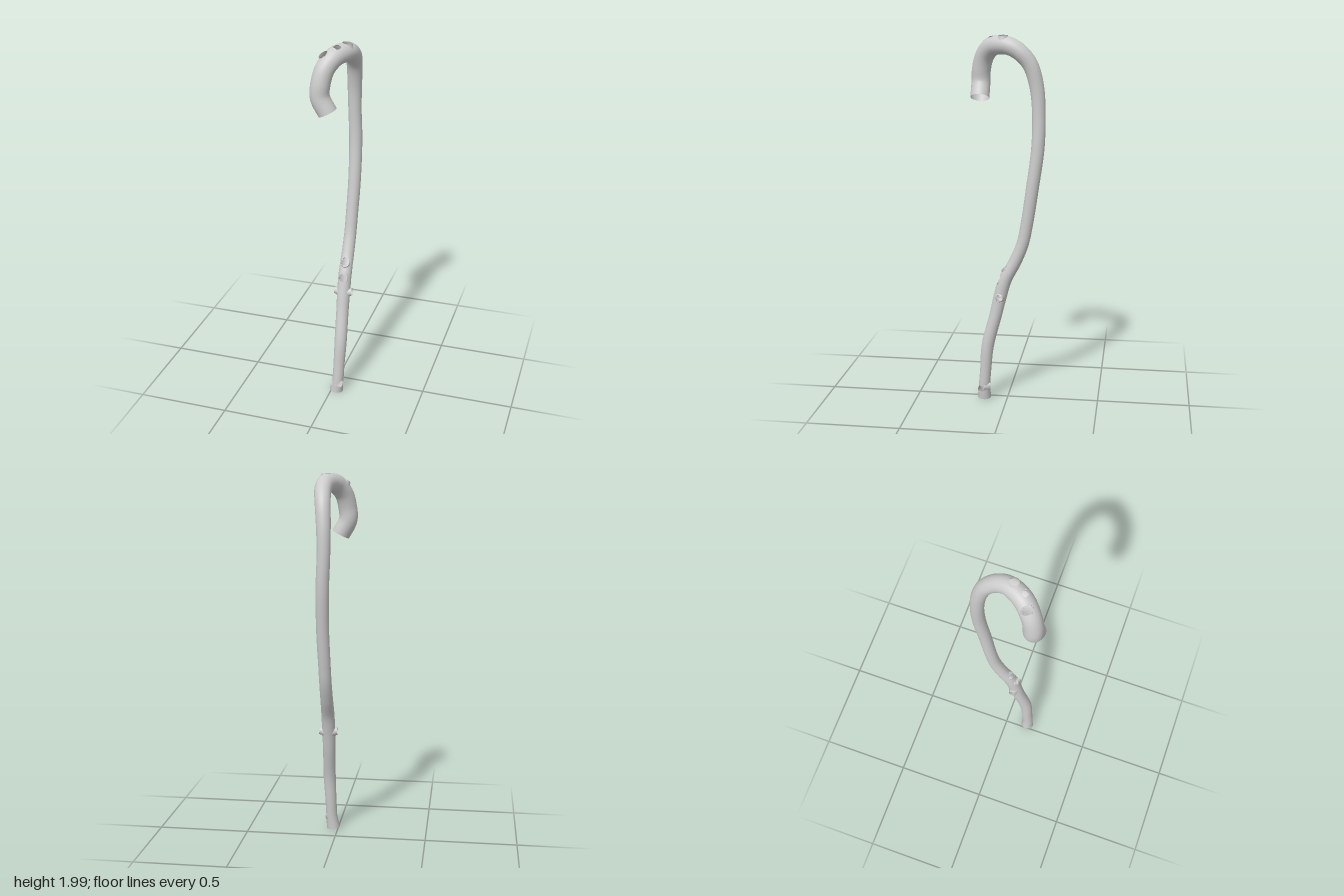
import * as THREE from 'three';

// Centre line of the stick from foot to crook end: x, y, z, radius
const path = [
  [0.028, 0.012, 0.128, 0.037], [0.036, 0.08, 0.126, 0.031], [0.04, 0.18, 0.118, 0.031],
  [0.045, 0.32, 0.105, 0.034], [0.042, 0.5, 0.06, 0.034], [0.041, 0.6, 0.037, 0.036],
  [0.041, 0.7, 0.008, 0.036], [0.04, 0.8, -0.045, 0.034], [0.041, 0.9, -0.085, 0.033],
  [0.043, 1.0, -0.106, 0.033], [0.048, 1.2, -0.136, 0.034], [0.045, 1.42, -0.164, 0.035],
  [0.038, 1.6, -0.167, 0.035], [0.04, 1.74, -0.155, 0.038], [0.048, 1.85, -0.122, 0.041],
  [0.055, 1.912, -0.07, 0.044], [0.05, 1.943, -0.015, 0.047], [0.031, 1.949, 0.035, 0.05],
  [0.003, 1.938, 0.083, 0.051], [-0.03, 1.89, 0.125, 0.05], [-0.047, 1.82, 0.146, 0.05],
  [-0.05, 1.75, 0.15, 0.05], [-0.01, 1.672, 0.15, 0.05],
];

// Sawn-off branch stubs: centre of the rim, outward direction, radius
const stubs = [
  { at: [0.054, 0.065, 0.143], dir: [0.7, 0, 0.65], r: 0.02, long: 1.7 },
  { at: [-0.008, 0.605, 0.036], dir: [-1, 0.15, 0], r: 0.02 },
  { at: [0.09, 0.605, 0.036], dir: [1, 0.15, 0], r: 0.02 },
  { at: [0.042, 0.69, 0.046], dir: [0, 0.25, 1], r: 0.024, long: 1.4 },
  { at: [0.042, 0.768, 0.008], dir: [0, 0.75, 0.65], r: 0.023, long: 1.3 },
  { at: [-0.043, 1.957, 0.115], dir: [-0.45, 0.8, 0.35], r: 0.026 },
  { at: [0.018, 1.988, 0.083], dir: [0, 0.95, 0.25], r: 0.018 },
  { at: [0.052, 1.997, 0.018], dir: [0.08, 1, 0], r: 0.025 },
].map((s) => ({
  ...s,
  at: new THREE.Vector3(...s.at),
  dir: new THREE.Vector3(...s.dir).normalize(),
}));

const curve = new THREE.CatmullRomCurve3(path.map((p) => new THREE.Vector3(p[0], p[1], p[2])));
curve.arcLengthDivisions = 600;

function radiusAt(u) {
  const f = curve.getUtoTmapping(u) * (path.length - 1);
  const i = Math.min(Math.floor(f), path.length - 2);
  return THREE.MathUtils.lerp(path[i][3], path[i + 1][3], f - i);
}

// Tapered tube, opened wherever a branch stub leaves it
function stickGeometry(steps, sides) {
  const geo = new THREE.TubeGeometry(curve, steps, 1, sides, false);
  const pos = geo.attributes.position;
  const v = new THREE.Vector3();
  for (let i = 0; i <= steps; i++) {
    const c = curve.getPointAt(i / steps);
    const r = radiusAt(i / steps);
    for (let j = 0; j <= sides; j++) {
      const k = i * (sides + 1) + j;
      v.fromBufferAttribute(pos, k).sub(c).multiplyScalar(r).add(c);
      pos.setXYZ(k, v.x, v.y, v.z);
    }
  }
  const inHole = (p) => stubs.some((s) => {
    const d = p.clone().sub(s.at);
    const along = d.dot(s.dir);
    return along > -0.035 && d.addScaledVector(s.dir, -along).length() < s.r * 0.95;
  });
  const old = geo.index.array;
  const kept = [];
  const w = new THREE.Vector3();
  for (let i = 0; i < old.length; i += 3) {
    v.set(0, 0, 0);
    for (let k = 0; k < 3; k++) v.add(w.fromBufferAttribute(pos, old[i + k]));
    if (!inHole(v.divideScalar(3))) kept.push(old[i], old[i + 1], old[i + 2]);
  }
  geo.setIndex(kept);
  return geo;
}

// Flared open collar whose rim lies in the plane y = 0
function stubGeometry(r) {
  const profile = [[1.5, -0.034], [1.25, -0.02], [1.08, -0.009], [1, 0]];
  return new THREE.LatheGeometry(profile.map(([k, y]) => new THREE.Vector2(k * r, y)), 20);
}

export function createModel() {
  const group = new THREE.Group();
  group.name = 'walkingStick';
  const material = new THREE.MeshStandardMaterial({ color: 0xcccccc, side: THREE.DoubleSide });

  const stick = new THREE.Mesh(stickGeometry(340, 28), material);
  stick.name = 'stickAndCrook';
  group.add(stick);

  // Collars around the stubs, stretched along the stick where needed
  const up = new THREE.Vector3(0, 1, 0);
  stubs.forEach((s, i) => {
    const collar = new THREE.Mesh(stubGeometry(s.r), material);
    collar.name = `branchStub${i + 1}`;
    collar.position.copy(s.at);
    const side = new THREE.Vector3().crossVectors(s.dir, Math.abs(s.dir.y) > 0.9 ? new THREE.Vector3(0, 0, 1) : up).normalize();
    const lengthwise = new THREE.Vector3().crossVectors(side, s.dir);
    collar.quaternion.setFromRotationMatrix(new THREE.Matrix4().makeBasis(side, s.dir, lengthwise.negate()));
    if (lengthwise.dot(new THREE.Vector3().crossVectors(side, s.dir)) < 0) {
      collar.quaternion.setFromUnitVectors(up, s.dir);
    }
    collar.scale.z = s.long ?? 1;
    group.add(collar);
  });

  // Closed foot
  const foot = new THREE.Mesh(new THREE.CircleGeometry(path[0][3], 28), material);
  foot.name = 'foot';
  foot.position.copy(curve.getPointAt(0));
  foot.quaternion.setFromUnitVectors(new THREE.Vector3(0, 0, 1), curve.getTangentAt(0).negate());
  group.add(foot);

  return group;
}
